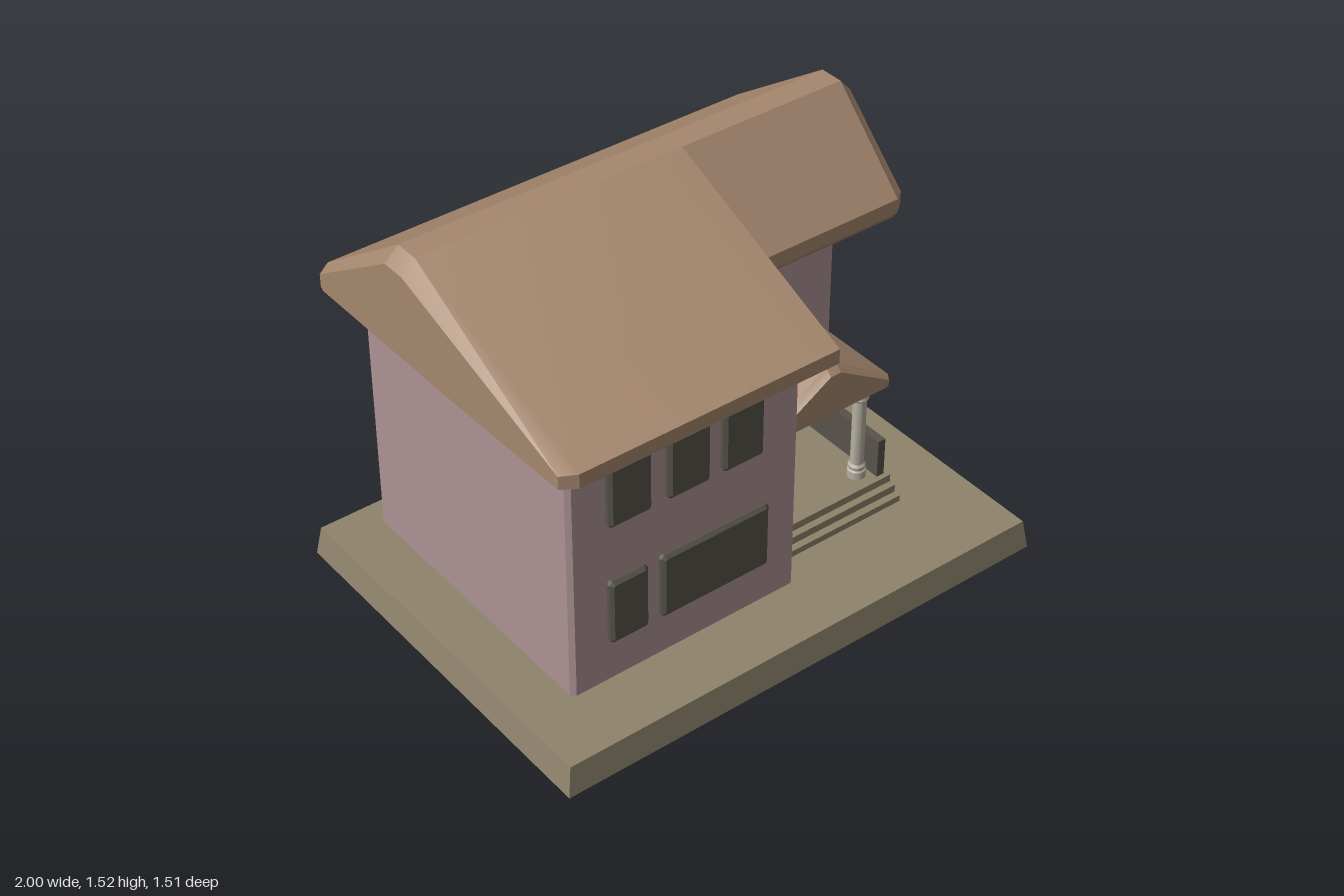
import * as THREE from 'three';
import { toCreasedNormals } from 'three/addons/utils/BufferGeometryUtils.js';

const mat = (color) => new THREE.MeshStandardMaterial({ color });

// Skin closed cross-sections (lists of [x, y, z], clockwise seen from +x) and cap the ends.
function loft(sections) {
  const n = sections[0].length, last = (sections.length - 1) * n, index = [];
  for (let s = 0; s < last; s += n) {
    for (let j = 0; j < n; j++) {
      const a = s + j, b = s + (j + 1) % n, c = b + n, d = a + n;
      index.push(a, d, c, a, c, b);
    }
  }
  for (let j = 1; j < n - 1; j++) {
    index.push(0, j, j + 1, last, last + j + 1, last + j);
  }
  const g = new THREE.BufferGeometry();
  g.setAttribute('position', new THREE.Float32BufferAttribute(sections.flat(2), 3));
  g.setIndex(index);
  return toCreasedNormals(g, 0.35);
}

// Cut every corner of a polygon by c.
function chamfered(points, c) {
  const v = points.map(([x, y]) => new THREE.Vector2(x, y)), out = [];
  v.forEach((p, i) => {
    for (const q of [v.at(i - 1), v[(i + 1) % v.length]]) {
      out.push(p.clone().add(q.clone().sub(p).setLength(c)));
    }
  });
  return new THREE.Shape(out);
}

const rect = (x0, x1, y0, y1) =>
  chamfered([[x0, y0], [x1, y0], [x1, y1], [x0, y1]], 0.012);

// Bevelled plate centred on z = 0.
function plate(shape, half = 0.025, bevel = 0.012) {
  const g = new THREE.ExtrudeGeometry(shape, {
    depth: 2 * (half - bevel), bevelThickness: bevel, bevelSize: bevel,
    bevelOffset: -bevel, bevelSegments: 1, curveSegments: 10,
  });
  return g.translate(0, 0, bevel - half);
}

export function createModel() {
  const model = new THREE.Group();
  const wallMat = mat(0xad9294), roofMat = mat(0xa5876e), stoneMat = mat(0x8f846c);
  const darkMat = mat(0x57534a), paleMat = mat(0xb5afa3);

  function add(name, geometry, material, x = 0, y = 0, z = 0) {
    const mesh = new THREE.Mesh(geometry, material);
    mesh.name = name;
    mesh.position.set(x, y, z);
    model.add(mesh);
    return mesh;
  }
  const box = (name, material, x0, x1, y0, y1, z0, z1) =>
    add(name, new THREE.BoxGeometry(x1 - x0, y1 - y0, z1 - z0), material,
      (x0 + x1) / 2, (y0 + y1) / 2, (z0 + z1) / 2);

  // Ground slab, slightly tapered upwards
  const slab = new THREE.BoxGeometry(2, 0.115, 1.51);
  const sp = slab.attributes.position;
  for (let i = 0; i < sp.count; i++) {
    if (sp.getY(i) > 0) sp.setXYZ(i, sp.getX(i) * 0.982, sp.getY(i), sp.getZ(i) * 0.98);
  }
  slab.computeVertexNormals();
  add('groundSlab', slab, stoneMat, 0, 0.0575, 0);

  // L-shaped walls (plan drawn as x, -z)
  const plan = chamfered([[-0.79, -0.49], [0.145, -0.49], [0.145, 0.085],
    [0.785, 0.085], [0.785, 0.65], [-0.79, 0.65]], 0.016);
  const walls = new THREE.ExtrudeGeometry(plan, { depth: 1.04, bevelEnabled: false });
  add('walls', walls.rotateX(-Math.PI / 2), wallMat, 0, 0.11, 0);

  // Main roof: shallow deep slope over the wing, steep slope over the entrance.
  // t = 1 pulls the outline in for the chamfered gable ends.
  const roofSection = (xEave, xRidge, eave, under, t) => [
    [xEave, 1.21 - 0.005 * t, eave - 0.035 * t],
    [xRidge, 1.525 - 0.05 * t, -0.168],
    [xRidge, 1.525 - 0.05 * t, -0.262],
    [xRidge, 1.21 - 0.005 * t, -0.715 + 0.035 * t],
    [xRidge, 1.155, -0.715 + 0.035 * t],
    [xRidge, 1.125 + 0.02 * t, -0.69 + 0.025 * t],
    [xEave, 1.125 + 0.02 * t, under - 0.02 * t],
    [xEave, 1.155, eave - 0.035 * t],
  ];
  add('mainRoof', loft([
    roofSection(-0.925, -0.925, 0.675, 0.13, 1),
    roofSection(-0.872, -0.872, 0.675, 0.13, 0),
    roofSection(0.14, 0.17, 0.675, 0.13, 0),
    roofSection(0.195, 0.17, 0.147, 0.125, 0),
    roofSection(0.85, 0.85, 0.147, 0.125, 0),
    roofSection(0.895, 0.895, 0.147, 0.125, 1),
  ]), roofMat);

  // Front windows: [x0, x1, y0, y1, wall z]
  for (const [x0, x1, y0, y1, z] of [
    [-0.645, -0.475, 0.765, 1.02, 0.49], [-0.41, -0.24, 0.765, 1.02, 0.49],
    [-0.187, -0.02, 0.765, 1.02, 0.49], [-0.645, -0.49, 0.28, 0.54, 0.49],
    [-0.437, 0.01, 0.28, 0.54, 0.49], [0.355, 0.51, 0.885, 1.03, -0.085],
  ]) add('frontWindow', plate(rect(x0, x1, y0, y1)), darkMat, 0, 0, z);

  // Side windows in two rows
  for (const y of [0.41, 0.925]) {
    for (const z of [-0.262, -0.457]) {
      const w = add('sideWindow', plate(rect(-0.068, 0.068, -0.105, 0.105), 0.02),
        darkMat, 0.785, y, z);
      w.rotation.y = Math.PI / 2;
    }
  }

  // Arched door with knob
  const arch = new THREE.Shape();
  arch.moveTo(-0.1, 0).lineTo(0.1, 0).lineTo(0.1, 0.19);
  arch.bezierCurveTo(0.08, 0.26, 0.05, 0.302, 0, 0.302);
  arch.bezierCurveTo(-0.05, 0.302, -0.08, 0.26, -0.1, 0.19);
  add('door', plate(arch, 0.055), darkMat, 0.445, 0.198, -0.085);
  add('doorKnob', new THREE.SphereGeometry(0.011, 12, 8), paleMat, 0.38, 0.325, -0.025);

  // Porch floor and steps
  [0.39, 0.362, 0.335].forEach((z, i) =>
    box('porchStep', stoneMat, 0.168, 0.715, 0.11 + 0.03 * i, 0.14 + 0.03 * i, -0.09, z));

  // Porch side walls
  for (const x of [0.168, 0.668]) {
    box('porchSideWall', darkMat, x, x + 0.032, 0.2, 0.355, -0.09, 0.315);
  }

  // Turned columns
  const profile = [[0, 0], [0.034, 0], [0.034, 0.03], [0.029, 0.036], [0.032, 0.05],
    [0.025, 0.06], [0.025, 0.335], [0.032, 0.345], [0.028, 0.358], [0.028, 0.375],
    [0.034, 0.385], [0.034, 0.41], [0, 0.41]].map(([r, y]) => new THREE.Vector2(r, y));
  const column = toCreasedNormals(new THREE.LatheGeometry(profile, 20), 0.5);
  for (const x of [0.25, 0.62]) add('porchColumn', column, paleMat, x, 0.2, 0.26);

  // Porch roof, lofted along its ridge and turned to face the front
  const porchSection = (x, t) => [
    [x, 0.64, 0.265 - 0.02 * t], [x, 0.8 - 0.025 * t, 0.022],
    [x, 0.8 - 0.025 * t, -0.022], [x, 0.64, -0.265 + 0.02 * t],
    [x, 0.615, -0.265 + 0.02 * t], [x, 0.602 + 0.01 * t, -0.25 + 0.015 * t],
    [x, 0.602 + 0.01 * t, 0.25 - 0.015 * t], [x, 0.615, 0.265 - 0.02 * t],
  ];
  const porchRoof = add('porchRoof',
    loft([porchSection(-0.1, 0), porchSection(0.312, 0), porchSection(0.34, 1)]),
    roofMat, 0.431, 0, 0);
  porchRoof.rotation.y = -Math.PI / 2;

  return model;
}
